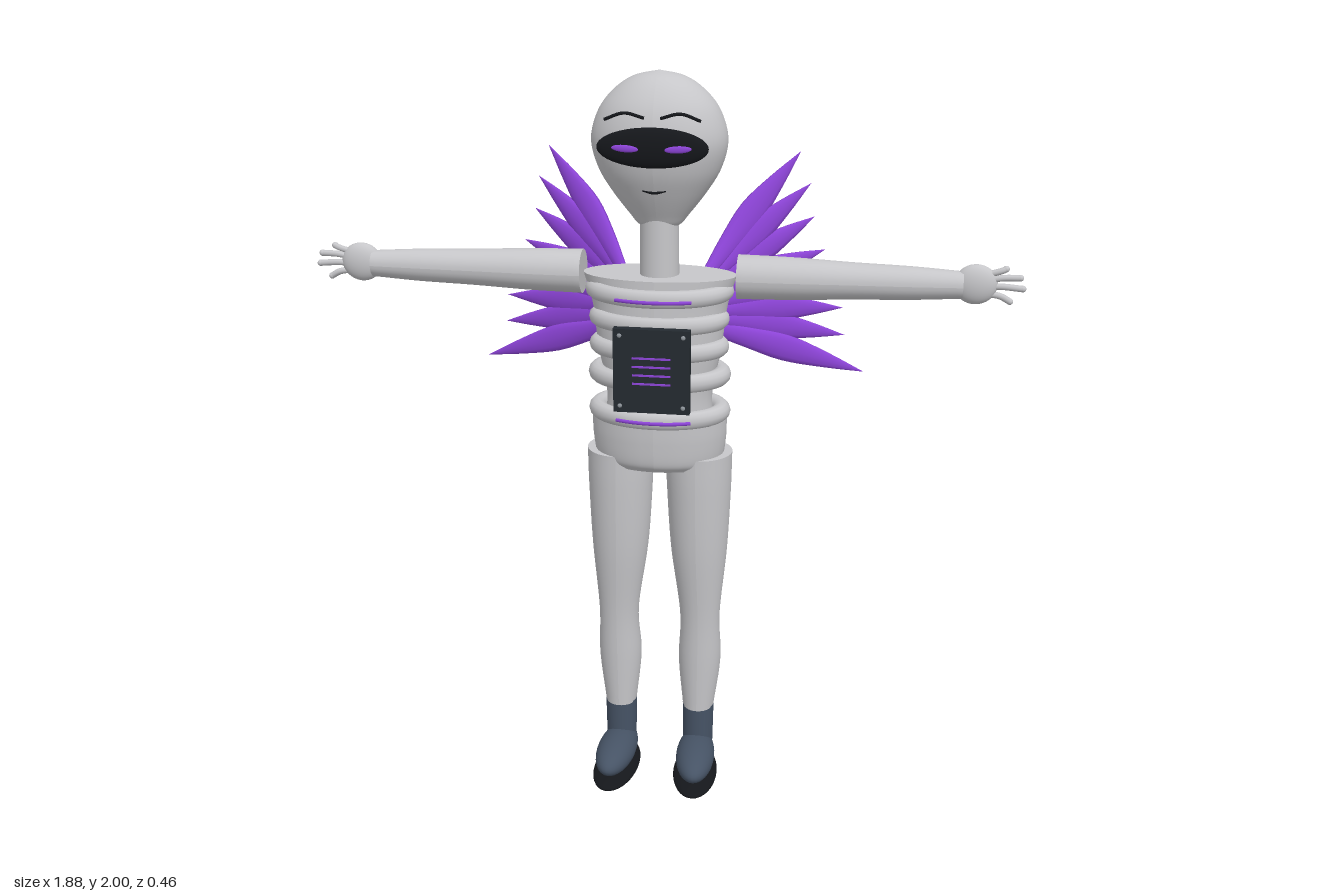
import * as THREE from 'three';

const mat = (name, color) => Object.assign(new THREE.MeshStandardMaterial({ color }), { name });
const shell = mat('pale grey', 0xc6c6c9);
const purple = mat('purple', 0x8d44d8);
const dark = mat('dark panel', 0x242a30);
const black = mat('black', 0x15171b);
const slate = mat('slate boots', 0x465365);
const steel = mat('steel', 0x8c9298);

function add(parent, name, geometry, material, x = 0, y = 0, z = 0) {
  const mesh = new THREE.Mesh(geometry, material);
  mesh.name = name;
  mesh.position.set(x, y, z);
  parent.add(mesh);
  return mesh;
}

// Smooth elliptical loft; sections run bottom to top as [y, rx, rz, cx, cz]
function loft(sections, sides = 32, rows = 32, smooth = true) {
  const size = new THREE.CatmullRomCurve3(sections.map(([y, rx, rz]) => new THREE.Vector3(rx, y, rz)), false, 'catmullrom', smooth ? 0.5 : 0);
  const mid = new THREE.CatmullRomCurve3(sections.map(([y, , , cx = 0, cz = 0]) => new THREE.Vector3(cx, y, cz)), false, 'catmullrom', 0.5);
  const g = new THREE.CylinderGeometry(1, 1, 1, sides, rows);
  const p = g.attributes.position;
  for (let i = 0; i < p.count; i++) {
    const t = THREE.MathUtils.clamp(p.getY(i) + 0.5, 0, 1);
    const r = size.getPoint(t), c = mid.getPoint(t);
    p.setXYZ(i, c.x + p.getX(i) * Math.max(r.x, 0), r.y, c.z + p.getZ(i) * Math.max(r.z, 0));
  }
  g.computeVertexNormals();
  return g;
}

const ellipsoid = (x, y, z) => new THREE.SphereGeometry(1, 32, 20).scale(x, y, z);

// Horizontal oval band, with any partial arc centred on the front
function band(rx, rz, tube, arc = Math.PI * 2) {
  return new THREE.TorusGeometry(rx - tube, tube, 12, 48, arc)
    .rotateZ(Math.PI / 2 - arc / 2).rotateX(Math.PI / 2).scale(1, 1, rz / rx);
}

const tube = (points, r) => new THREE.TubeGeometry(
  new THREE.CatmullRomCurve3(points.map(p => new THREE.Vector3(...p))), 12, r, 8);

function buildHead(root) {
  const g = new THREE.Group();
  g.name = 'head';
  root.add(g);
  const profile = [[1.6, 0], [1.61, 0.05], [1.64, 0.078], [1.7, 0.124], [1.76, 0.159], [1.83, 0.175],
    [1.9, 0.156], [1.95, 0.118], [1.985, 0.066], [2, 0]];
  add(g, 'skull', loft(profile.map(([y, r]) => [y, r, r * 0.72, 0, 0.02]), 48, 54), shell);
  add(g, 'neck', new THREE.CylinderGeometry(0.05, 0.052, 0.2, 32), shell, 0, 1.54, 0.02);
  add(g, 'mask', ellipsoid(0.14, 0.05, 0.018), black, 0, 1.825, 0.14);
  for (const s of [-1, 1]) {
    const eye = add(g, 'eye', ellipsoid(0.034, 0.009, 0.004), purple, s * 0.066, 1.825, 0.157);
    eye.rotation.z = s * 0.06;
    add(g, 'eyebrow', tube([[s * 0.02, 1.897, 0.14], [s * 0.07, 1.909, 0.142], [s * 0.12, 1.892, 0.138]], 0.004), black);
  }
  add(g, 'mouth', tube([[-0.03, 1.715, 0.11], [0, 1.709, 0.113], [0.03, 1.715, 0.11]], 0.004), black);
}

function buildTorso(root) {
  const g = new THREE.Group();
  g.name = 'torso';
  root.add(g);
  add(g, 'chest', loft([[1.06, 0.15, 0.095, 0, 0.02], [1.16, 0.143, 0.092, 0, 0.02], [1.28, 0.165, 0.1, 0, 0.018],
    [1.4, 0.18, 0.102, 0, 0.015], [1.48, 0.203, 0.1, 0, 0.015]]), shell);
  add(g, 'collar', band(0.197, 0.134, 0.024, Math.PI), shell, 0, 1.44, 0.02);
  // Ribs are set forward so they sink into the back
  for (const y of [1.365, 1.29]) add(g, 'rib', band(0.187, 0.114, 0.024), shell, 0, y, 0.028);
  for (const y of [1.21, 1.108]) add(g, 'waistBand', band(0.192, 0.128, 0.025), shell, 0, y, 0.02);
  add(g, 'pelvis', loft([[0.955, 0.16, 0.1, 0, 0.012], [0.98, 0.174, 0.114, 0, 0.015],
    [1.04, 0.182, 0.118, 0, 0.018], [1.1, 0.183, 0.118, 0, 0.02]]), shell);
  for (const y of [1.44, 1.37, 1.29]) add(g, 'spineKnob', ellipsoid(0.022, 0.02, 0.015), shell, 0, y, -0.085);
  for (const x of [-0.1, 0, 0.1]) add(g, 'hipKnob', ellipsoid(0.022, 0.016, 0.014), shell, x, 1.075, x ? -0.08 : -0.098);
  for (const [y, arc] of [[1.435, 1.05], [1.108, 1.05]])
    add(g, 'glowStripe', band(0.2, 0.137, 0.005, arc), purple, 0, y, 0.02);

  // Chest control plate with corner bolts and bars
  add(g, 'chestPlate', new THREE.BoxGeometry(0.2, 0.225, 0.024), dark, 0, 1.255, 0.155);
  for (const x of [-0.083, 0.083]) for (const y of [1.16, 1.35])
    add(g, 'bolt', ellipsoid(0.006, 0.006, 0.004), steel, x, y, 0.167);
  for (let i = 0; i < 4; i++)
    add(g, 'plateBar', new THREE.BoxGeometry(0.1, 0.005, 0.004), purple, 0, 1.222 + i * 0.023, 0.168);
}

function buildArm(root, s) {
  const g = new THREE.Group();
  g.name = s > 0 ? 'leftArm' : 'rightArm';
  root.add(g);
  const arm = loft([[0.205, 0.058, 0.058], [0.35, 0.055, 0.055], [0.5, 0.048, 0.048], [0.65, 0.043, 0.042], [0.78, 0.035, 0.034]]);
  add(g, 'sleeve', arm.rotateZ(-s * Math.PI / 2), shell, 0, 1.477, 0.013);
  add(g, 'hand', ellipsoid(0.055, 0.052, 0.026), shell, s * 0.812, 1.48, 0.012);
  const tips = [[0.885, 1.522], [0.922, 1.5], [0.93, 1.472], [0.9, 1.438]];
  tips.forEach(([x, y], i) => {
    const y0 = 1.505 - i * 0.016;
    add(g, 'finger', tube([[s * 0.835, y0, 0.012], [s * 0.875, (y0 + y) / 2 + 0.004, 0.014], [s * x, y, 0.012]], 0.0085), shell);
    add(g, 'fingertip', ellipsoid(0.0085, 0.0085, 0.0085), shell, s * x, y, 0.012);
  });
}

function buildLeg(root, s) {
  const g = new THREE.Group();
  g.name = s > 0 ? 'leftLeg' : 'rightLeg';
  root.add(g);
  add(g, 'trouser', loft([[0.2, 0.044, 0.047, s * 0.113, 0.018], [0.35, 0.06, 0.06, s * 0.115, 0.01],
    [0.5, 0.056, 0.051, s * 0.116, 0.024], [0.7, 0.078, 0.077, s * 0.111, 0.017],
    [0.88, 0.088, 0.088, s * 0.109, 0.015], [0.99, 0.091, 0.09, s * 0.108, 0.015]]), shell);
  add(g, 'bootShaft', new THREE.CylinderGeometry(0.045, 0.043, 0.12, 32), slate, s * 0.113, 0.145, 0.018);
  const foot = add(g, 'shoe', ellipsoid(0.055, 0.046, 0.13), slate, s * 0.115, 0.073, 0.093);
  const sole = add(g, 'sole', ellipsoid(0.063, 0.02, 0.138), black, s * 0.115, 0.02, 0.095);
  foot.rotation.y = sole.rotation.y = s * 0.06;
}

function buildWing(root, s) {
  const g = new THREE.Group();
  g.name = s > 0 ? 'leftWing' : 'rightWing';
  root.add(g);
  // Feather tips fan from top to bottom
  const tips = [[0.345, 1.765], [0.375, 1.68], [0.388, 1.59], [0.42, 1.5], [0.458, 1.412], [0.475, 1.338], [0.482, 1.26], [0.54, 1.155]];
  tips.forEach(([x, y], i) => {
    const from = new THREE.Vector3(s * 0.115, 1.46 - i * 0.021, -0.075);
    const along = new THREE.Vector3(s * x, y, -0.23).sub(from);
    const L = along.length();
    const feather = loft([[0, 0.016, 0.01], [L * 0.25, 0.029, 0.013, 0, 0.014], [L * 0.5, 0.038, 0.014, 0, 0.018],
      [L * 0.75, 0.023, 0.009, 0, 0.011], [L, 0, 0]], 10, 16);
    const Y = along.normalize();
    const X = new THREE.Vector3().crossVectors(Y, new THREE.Vector3(-s * 0.31, 0, -0.95)).normalize();
    const Z = new THREE.Vector3().crossVectors(X, Y);
    feather.applyMatrix4(new THREE.Matrix4().makeBasis(X, Y, Z));
    add(g, 'feather', feather, purple, from.x, from.y, from.z);
  });
}

export function createModel() {
  const root = new THREE.Group();
  root.name = 'wingedFigure';
  buildHead(root);
  buildTorso(root);
  for (const s of [1, -1]) {
    buildArm(root, s);
    buildLeg(root, s);
    buildWing(root, s);
  }
  return root;
}
